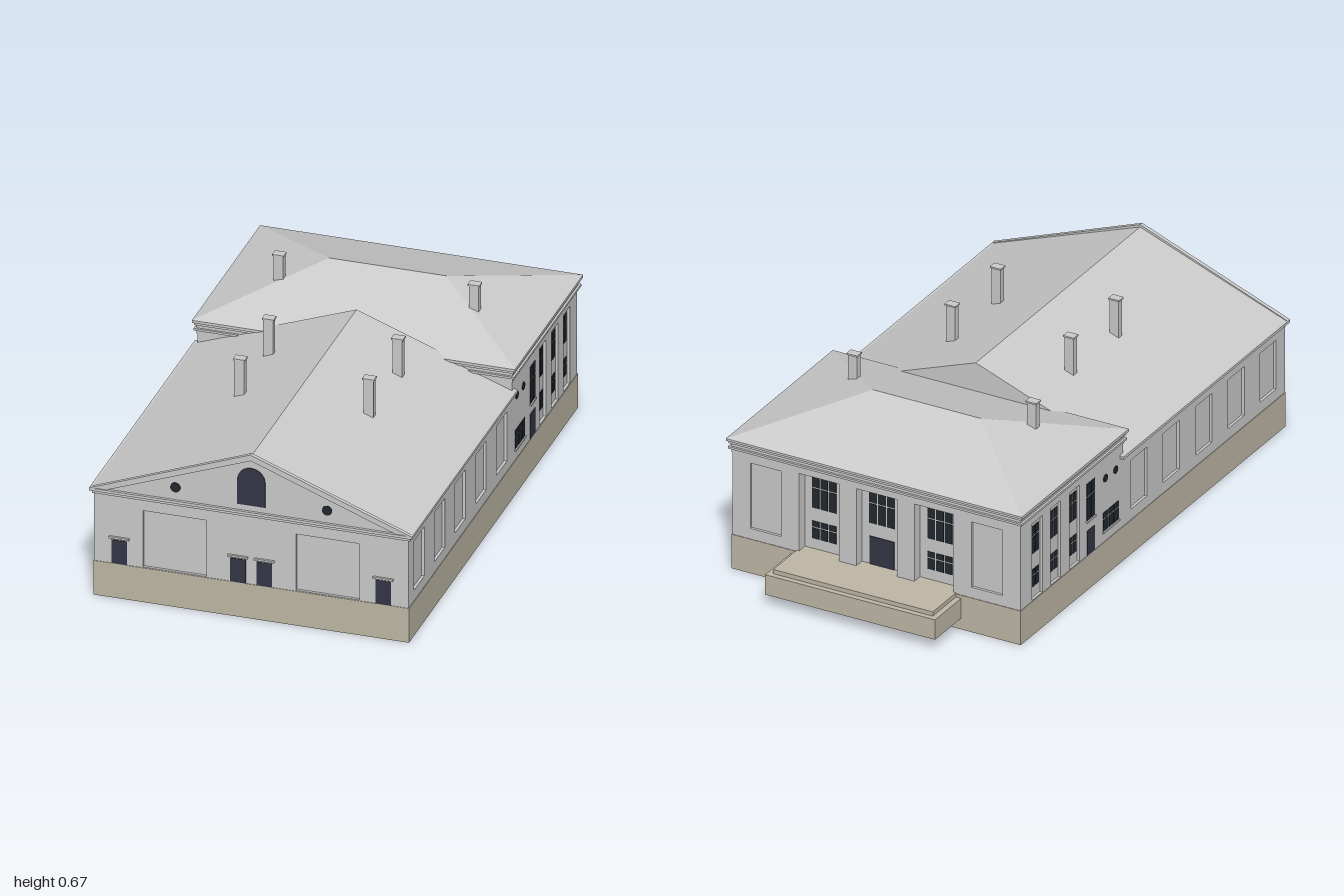
import * as THREE from 'three';
import { ConvexGeometry } from 'three/addons/geometries/ConvexGeometry.js';

const grey = new THREE.MeshStandardMaterial({ color: 0xcccccc });
const stone = new THREE.MeshStandardMaterial({ color: 0xbfb8a6 });
const glass = new THREE.MeshStandardMaterial({ color: 0x22282f });
const door = new THREE.MeshStandardMaterial({ color: 0x333645 });

function add(parent, name, geometry, material = grey) {
  const mesh = new THREE.Mesh(geometry, material);
  mesh.name = name;
  parent.add(mesh);
  return mesh;
}

// Box given by its lower and upper limits on each axis
function box(parent, name, x0, x1, y0, y1, z0, z1, material) {
  const g = new THREE.BoxGeometry(x1 - x0, y1 - y0, z1 - z0);
  g.translate((x0 + x1) / 2, (y0 + y1) / 2, (z0 + z1) / 2);
  return add(parent, name, g, material);
}

const polygon = pts => new THREE.Shape(pts.map(([x, y]) => new THREE.Vector2(x, y)));
const rect = (u, w, y0, y1) => polygon([[u - w / 2, y0], [u + w / 2, y0], [u + w / 2, y1], [u - w / 2, y1]]);

function slab(parent, name, shape, z0, z1, material, holes = []) {
  shape.holes.push(...holes);
  const g = new THREE.ExtrudeGeometry(shape, { depth: z1 - z0, bevelEnabled: false, curveSegments: 16 });
  g.translate(0, 0, z0);
  return add(parent, name, g, material);
}

// A facade is drawn in its own plane: x along the wall, z = 0 at the wall core
function facade(parent, name, x, z, turn) {
  const g = new THREE.Group();
  g.name = name;
  g.position.set(x, 0, z);
  g.rotation.y = turn;
  parent.add(g);
  return g;
}

// Panes separated by bars, with a shorter top row
function paneWindow(parent, u, w, y0, y1, z, cols = 2) {
  const bar = 0.005, pw = (w - bar * (cols - 1)) / cols;
  const split = y0 + (y1 - y0) * 0.64;
  for (let i = 0; i < cols; i++) {
    const a = u - w / 2 + i * (pw + bar);
    box(parent, 'windowPane', a, a + pw, y0, split - bar / 2, z - 0.003, z + 0.002, glass);
    box(parent, 'windowPane', a, a + pw, split + bar / 2, y1, z - 0.003, z + 0.002, glass);
  }
}

function roundWindow(parent, u, y, r, z) {
  const g = new THREE.CylinderGeometry(r, r, 0.006, 24);
  g.rotateX(Math.PI / 2).translate(u, y, z);
  add(parent, 'roundWindow', g, glass);
}

function chimney(parent, x, z, y0, y1) {
  box(parent, 'chimney', x - 0.0175, x + 0.0175, y0, y1 - 0.006, z - 0.012, z + 0.012);
  box(parent, 'chimneyCap', x - 0.021, x + 0.021, y1 - 0.006, y1, z - 0.016, z + 0.016);
}

export function createModel() {
  const model = new THREE.Group();
  model.name = 'building';

  // Plinth, wall cores and rear landing
  box(model, 'plinth', -0.562, 0.562, 0, 0.13, -0.822, 0.992, stone);
  box(model, 'hallCore', -0.55, 0.55, 0.13, 0.4, -0.13, 0.98);
  box(model, 'rearCore', -0.55, 0.55, 0.13, 0.49, -0.78, -0.12);
  box(model, 'landing', -0.33, 0.33, 0.042, 0.118, -1, -0.82, stone);
  box(model, 'landingTop', -0.31, 0.31, 0.118, 0.134, -0.98, -0.78, stone);

  // Front wall with two recessed panels and four doors
  const front = facade(model, 'frontFacade', 0, 0.98, 0);
  slab(front, 'frontWall', rect(0, 1.12, 0.13, 0.4), 0, 0.01, grey,
    [-1, 1].map(s => rect(s * 0.2725, 0.225, 0.133, 0.347)));
  for (const s of [-1, 1]) for (const u of [0.047, 0.47]) {
    box(front, 'frontDoor', s * u - 0.0275, s * u + 0.0275, 0.13, 0.22, 0.005, 0.012, door);
    box(front, 'doorLintel', s * u - 0.036, s * u + 0.036, 0.226, 0.233, 0.005, 0.018);
  }

  // Gable openings
  const arch = new THREE.Shape();
  arch.moveTo(-0.05, 0.43);
  arch.lineTo(0.05, 0.43);
  arch.lineTo(0.05, 0.522);
  arch.absarc(0, 0.522, 0.05, 0, Math.PI);
  slab(front, 'archedWindow', arch, 0.005, 0.013, door);
  for (const s of [-1, 1]) roundWindow(front, s * 0.27, 0.455, 0.018, 0.01);

  // Gable roof with raking and level cornices
  slab(model, 'gableRoof', polygon([[-0.575, 0.405], [0.575, 0.405], [0, 0.618]]), -0.14, 0.99);
  box(model, 'hallCornice', -0.575, 0.575, 0.398, 0.408, -0.14, 1);
  box(model, 'frontCorniceMoulding', -0.566, 0.566, 0.388, 0.398, 0.97, 0.995);
  slab(model, 'rakingCornice', polygon([[-0.575, 0.4], [-0.535, 0.4], [0, 0.602], [0.535, 0.4],
    [0.575, 0.4], [0.575, 0.408], [0, 0.626], [-0.575, 0.408]]), 0.985, 0.996);
  slab(model, 'rakingCorniceEdge', polygon([[-0.575, 0.4], [0, 0.613], [0.575, 0.4],
    [0.575, 0.408], [0, 0.627], [-0.575, 0.408]]), 0.985, 1);

  // Side walls; u turns a z position into a position along the facade
  for (const s of [-1, 1]) {
    const side = facade(model, s > 0 ? 'leftFacade' : 'rightFacade', s * 0.55, 0, s * Math.PI / 2);
    const u = z => -s * z;
    const bays = [-0.45, -0.58, -0.705];
    const outline = [[-0.78, 0.13], [0.98, 0.13], [0.98, 0.4], [-0.12, 0.4], [-0.12, 0.46], [-0.78, 0.46]];
    slab(side, 'sideWall', polygon(outline.map(([z, y]) => [u(z), y])), 0, 0.01, grey, [
      ...[0.875, 0.657, 0.435, 0.212, -0.01].map(z => rect(u(z), 0.11, 0.17, 0.357)),
      ...bays.map(z => rect(u(z), 0.07, 0.133, 0.425)),
    ]);
    for (const z of bays) {
      paneWindow(side, u(z), 0.052, 0.3, 0.405, 0);
      paneWindow(side, u(z), 0.052, 0.173, 0.24, 0);
    }
    // Stair windows, side door and round openings
    paneWindow(side, u(-0.34), 0.055, 0.265, 0.405, 0.01);
    paneWindow(side, u(-0.203), 0.105, 0.173, 0.243, 0.01, 3);
    box(side, 'sideDoor', u(-0.34) - 0.026, u(-0.34) + 0.026, 0.13, 0.225, 0.005, 0.012, door);
    box(side, 'windowSill', u(-0.34) - 0.03, u(-0.34) + 0.03, 0.258, 0.264, 0, 0.016);
    box(side, 'windowSill', u(-0.203) - 0.056, u(-0.203) + 0.056, 0.166, 0.172, 0, 0.016);
    for (const z of [-0.17, -0.24]) roundWindow(side, u(z), 0.37, 0.014, 0.01);
  }

  // Rear wall with a recessed porch between two corner panels
  const rear = facade(model, 'rearFacade', 0, -0.78, Math.PI);
  slab(rear, 'rearWall', rect(0, 1.12, 0.13, 0.46), 0, 0.04, grey, [
    rect(0, 0.6, 0.133, 0.43), ...[-1, 1].map(s => rect(s * 0.43, 0.12, 0.17, 0.42))]);
  for (const s of [-1, 1]) {
    box(rear, 'cornerPanel', s * 0.43 - 0.06, s * 0.43 + 0.06, 0.17, 0.42, 0, 0.03);
    box(rear, 'porchPier', s * 0.113 - 0.034, s * 0.113 + 0.034, 0.13, 0.43, 0, 0.038);
    paneWindow(rear, s * 0.225, 0.095, 0.29, 0.41, 0, 3);
    paneWindow(rear, s * 0.225, 0.095, 0.173, 0.24, 0, 3);
  }
  paneWindow(rear, 0, 0.1, 0.29, 0.41, 0, 3);
  box(rear, 'rearDoor', -0.048, 0.048, 0.13, 0.24, -0.003, 0.003, door);

  // Stepped cornice of the rear block
  for (const [o, y0, y1] of [[0.002, 0.445, 0.46], [0.011, 0.46, 0.468], [0.003, 0.468, 0.48],
    [0.009, 0.48, 0.49], [0.015, 0.49, 0.5]])
    box(model, 'rearCornice', -0.56 - o, 0.56 + o, y0, y1, -0.82 - o, -0.12 + o);

  // Hipped roof
  const hip = [[-0.21, 0.615, -0.475], [0.21, 0.615, -0.475]];
  for (const x of [-0.575, 0.575]) for (const z of [-0.838, -0.108]) hip.push([x, 0.5, z]);
  add(model, 'hippedRoof', new ConvexGeometry(hip.map(p => new THREE.Vector3(...p))));

  // Chimneys
  for (const s of [-1, 1]) {
    for (const z of [0.105, 0.415]) chimney(model, s * 0.23, z, 0.51, 0.672);
    chimney(model, s * 0.348, -0.36, 0.55, 0.667);
  }
  return model;
}
